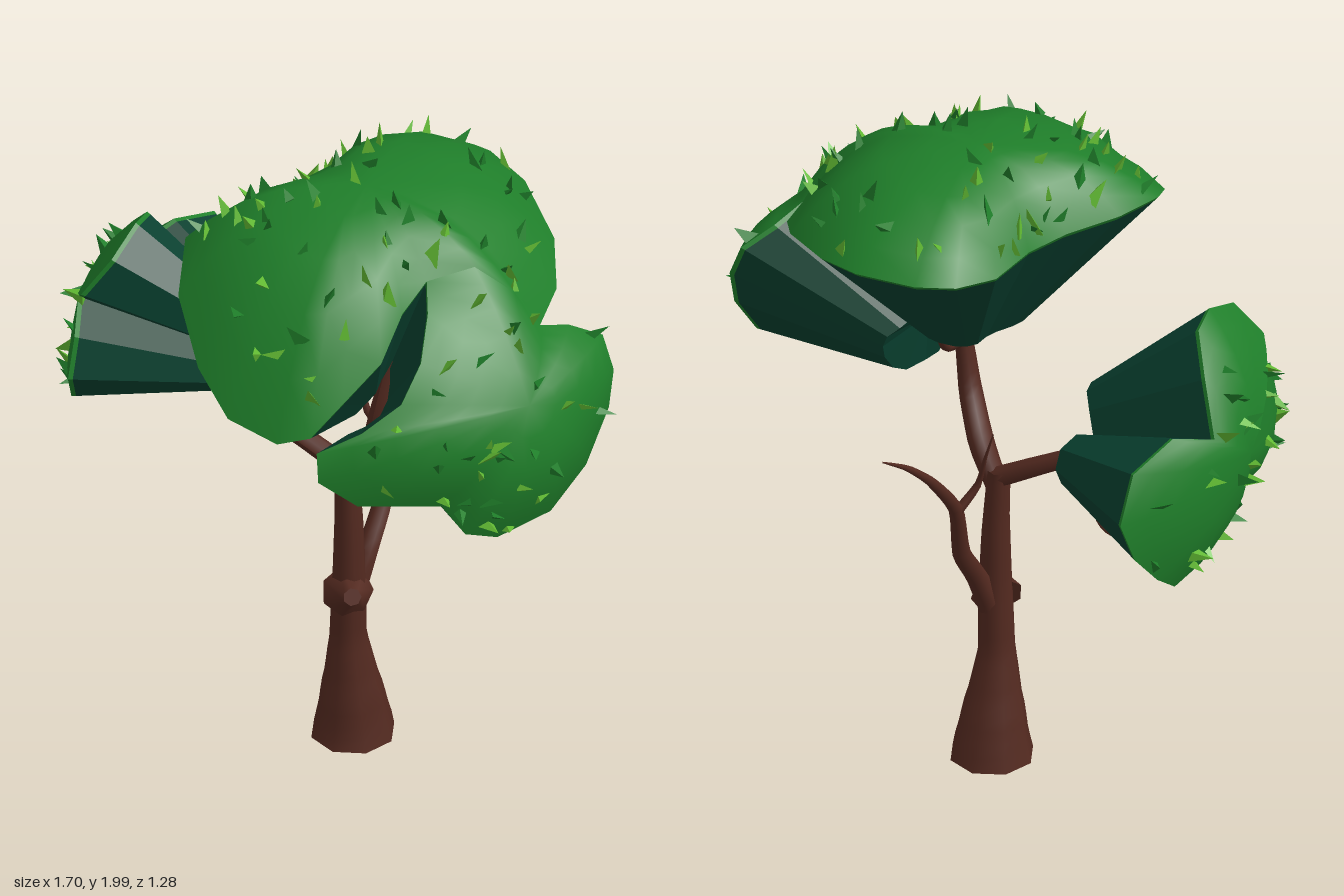
import * as THREE from 'three';
import { mergeGeometries, mergeVertices } from 'three/addons/utils/BufferGeometryUtils.js';

const V = (a) => new THREE.Vector3(...a);
const paint = (name, color, side = THREE.FrontSide) => {
  const m = new THREE.MeshStandardMaterial({ color, side });
  m.name = name;
  return m;
};

// Surface through a list of closed rings with equal point counts
function loft(rings, smooth) {
  const n = rings[0].length, index = [];
  for (let r = 0; r < rings.length - 1; r++) {
    for (let i = 0; i < n; i++) {
      const j = (i + 1) % n, a = r * n, b = a + n;
      index.push(a + i, b + i, b + j, a + i, b + j, a + j);
    }
  }
  let g = new THREE.BufferGeometry().setFromPoints(rings.flat());
  g.setIndex(index);
  g = smooth ? mergeVertices(g) : g.toNonIndexed();
  g.computeVertexNormals();
  return g;
}

// Tapered limb: each station is [x, y, z, radius]
function limb(stations, sides = 8) {
  const curve = new THREE.CatmullRomCurve3(stations.map((s) => V(s.slice(0, 3))), false, 'catmullrom', 0.3);
  const segs = (stations.length - 1) * 4, last = stations.length - 1;
  const g = new THREE.TubeGeometry(curve, segs, 1, sides);
  const pos = g.attributes.position, p = new THREE.Vector3();
  for (let k = 0; k <= segs; k++) {
    const u = k / segs, c = curve.getPointAt(u);
    const t = curve.getUtoTmapping(u) * last, i = Math.min(Math.floor(t), last - 1);
    const r = THREE.MathUtils.lerp(stations[i][3], stations[i + 1][3], t - i);
    for (let s = 0; s <= sides; s++) {
      const v = k * (sides + 1) + s;
      p.fromBufferAttribute(pos, v).sub(c).multiplyScalar(r).add(c);
      pos.setXYZ(v, p.x, p.y, p.z);
    }
  }
  g.computeVertexNormals();
  return g;
}

export function createModel() {
  const group = new THREE.Group();
  const bark = paint('bark brown', 0x542a20);
  const leaf = paint('leaf green', 0x1f7f2a, THREE.DoubleSide);
  const under = paint('shaded underside green', 0x08402f, THREE.DoubleSide);
  const tuftLight = paint('light tuft green', 0x62bb33);
  const add = (name, geometry, material, parent = group) => {
    const m = new THREE.Mesh(geometry, material);
    m.name = name;
    parent.add(m);
    return m;
  };
  let seed = 7;
  const rand = () => (seed = (seed * 16807) % 2147483647) / 2147483647;

  // Trunk and branches
  add('trunk', limb([[0.033, 0, -0.08, 0.122], [0.033, 0.04, -0.08, 0.114], [0.031, 0.16, -0.072, 0.09],
    [0.028, 0.33, -0.06, 0.055], [0.034, 0.52, -0.055, 0.051], [0.03, 0.75, -0.06, 0.041], [0.02, 0.93, -0.06, 0.034]]), bark);
  const base = add('trunkBase', new THREE.CircleGeometry(0.12, 8), bark);
  base.rotation.x = Math.PI / 2;
  base.position.set(0.033, 0.002, -0.08);
  const knot = add('trunkKnot', new THREE.CylinderGeometry(0.026, 0.075, 0.085, 7), bark);
  knot.position.set(0.06, 0.515, -0.01);
  knot.rotation.set(1.1, 0, -0.6);
  add('mainBranch', limb([[0.02, 0.86, -0.06, 0.032], [0.09, 0.98, -0.03, 0.038], [0.16, 1.1, 0.04, 0.034],
    [0.19, 1.24, 0.06, 0.026], [0.22, 1.42, 0.04, 0.018]]), bark);
  add('mainBranchTwig', limb([[0.19, 1.25, 0.06, 0.02], [0.2, 1.27, -0.03, 0.017], [0.2, 1.34, -0.08, 0.01]], 6), bark);
  add('sideBranch', limb([[0.03, 0.9, -0.06, 0.032], [-0.1, 0.97, -0.05, 0.029], [-0.24, 1.04, -0.03, 0.026],
    [-0.33, 1.1, -0.02, 0.028], [-0.4, 1.17, -0.02, 0.015]]), bark);
  add('sideTwig', limb([[-0.28, 1.06, -0.03, 0.02], [-0.31, 0.98, -0.08, 0.016], [-0.33, 0.9, -0.13, 0.011],
    [-0.38, 0.885, -0.16, 0.007], [-0.46, 0.91, -0.2, 0.002]], 6), bark);
  add('backBranch', limb([[0.04, 0.48, -0.07, 0.038], [0.06, 0.6, -0.12, 0.031], [0.065, 0.73, -0.21, 0.027],
    [0.045, 0.92, -0.285, 0.021], [0.055, 1.08, -0.42, 0.014], [0.075, 1.18, -0.53, 0.009], [0.093, 1.26, -0.648, 0.002]], 7), bark);
  add('backTwig', limb([[0.045, 0.9, -0.28, 0.016], [0.0, 0.98, -0.235, 0.011], [-0.03, 1.08, -0.25, 0.006],
    [-0.062, 1.18, -0.26, 0.002]], 6), bark);

  // Leaf mass: domed skin with a thin lip, dark underside narrowing to the branch, scattered tufts
  function foliage(name, { rim, apex, axis, power, inner, scale, tufts }) {
    const part = new THREE.Group();
    part.name = name;
    group.add(part);
    const top = V(apex), n = V(axis).normalize(), hub = V(inner);
    const edge = rim.map(V);
    const area = new THREE.Vector3(), mid = new THREE.Vector3();
    edge.forEach((p, i) => {
      const q = edge[(i + 1) % edge.length];
      area.add(p.clone().sub(top).cross(q.clone().sub(top)));
      mid.addScaledVector(p, 1 / edge.length);
    });
    if (area.dot(n) < 0) edge.reverse();
    const dome = (p, t) => {
      const d = p.clone().sub(top), h = d.dot(n);
      return top.clone().addScaledVector(d.addScaledVector(n, -h), t).addScaledVector(n, h * t ** power);
    };
    const neck = edge.map((p) => p.clone().sub(mid).multiplyScalar(scale).add(hub));
    const lip = edge.map((p, i) => p.clone().lerp(neck[i], 0.03));
    const end = hub.clone().addScaledVector(n, 0.04);
    add('leafSkin', loft([0, 0.25, 0.5, 0.7, 0.87, 1].map((t) => edge.map((p) => dome(p, t))), true), leaf, part);
    add('leafLip', loft([edge, lip], false), leaf, part);
    add('leafUnderside', loft([lip, neck, neck.map(() => end)], false), under, part);

    const outline = new THREE.CatmullRomCurve3(edge, true, 'catmullrom', 0);
    const sets = [[], []];
    for (let k = 0; k < tufts; k++) {
      const p = dome(outline.getPointAt(rand()), 0.1 + 0.86 * Math.sqrt(rand()));
      const out = p.clone().sub(hub).normalize().add(n).normalize();
      out.add(new THREE.Vector3(rand() - 0.5, rand() - 0.5, rand() - 0.5).multiplyScalar(1.1)).normalize();
      const size = 0.6 + 0.7 * rand();
      const g = new THREE.ConeGeometry(0.028 * size, 0.068 * size, 3).toNonIndexed();
      g.computeVertexNormals();
      g.scale(1, 1, 0.5);
      g.rotateY(rand() * 6.28);
      g.applyQuaternion(new THREE.Quaternion().setFromUnitVectors(new THREE.Vector3(0, 1, 0), out));
      g.translate(p.x + out.x * 0.016, p.y + out.y * 0.016, p.z + out.z * 0.016);
      sets[k % 2].push(g);
    }
    add('tufts', mergeGeometries(sets[0]), leaf, part);
    add('lightTufts', mergeGeometries(sets[1]), tuftLight, part);
  }

  // Seam shared by the two halves of the crown, from the slit end to the back crease
  const seam = [[0.39, 1.79, 0.16], [0.5, 1.825, 0.08], [0.6, 1.74, 0.03], [0.655, 1.615, -0.02]];

  foliage('crown', {
    rim: [[-0.33, 1.76, 0.24], [-0.27, 1.68, 0.4], [-0.13, 1.57, 0.55], [0.0, 1.48, 0.62], [0.16, 1.45, 0.63],
      [0.25, 1.48, 0.6], [0.3, 1.55, 0.5], [0.37, 1.65, 0.4], [0.37, 1.74, 0.27], ...seam,
      [0.63, 1.64, -0.17], [0.55, 1.7, -0.31], [0.38, 1.75, -0.46], [0.24, 1.77, -0.52], [0.06, 1.77, -0.51],
      [-0.04, 1.76, -0.45], [-0.11, 1.75, -0.34], [-0.13, 1.75, -0.17], [-0.18, 1.75, -0.04], [-0.28, 1.76, 0.1]],
    apex: [0.12, 1.94, 0], axis: [0, 1, 0], power: 3.0, inner: [0.15, 1.33, 0.02], scale: 0.28, tufts: 66,
  });

  foliage('crownSideLobe', {
    rim: [...[...seam].reverse(), [0.44, 1.75, 0.25], [0.475, 1.66, 0.36], [0.46, 1.57, 0.45], [0.38, 1.5, 0.54],
      [0.28, 1.45, 0.62], [0.29, 1.36, 0.63], [0.39, 1.28, 0.58], [0.57, 1.24, 0.42], [0.62, 1.13, 0.37],
      [0.68, 1.09, 0.29], [0.75, 1.085, 0.1], [0.79, 1.17, -0.04], [0.81, 1.31, -0.14], [0.81, 1.42, -0.17],
      [0.77, 1.52, -0.18], [0.7, 1.575, -0.11]],
    apex: [0.735, 1.5, 0.2], axis: [0.8, 0.5, 0.35], power: 2.4, inner: [0.29, 1.25, 0.08], scale: 0.38, tufts: 36,
  });

  foliage('lowCrown', {
    rim: [[-0.6, 1.59, 0.02], [-0.61, 1.54, 0.15], [-0.68, 1.43, 0.2], [-0.73, 1.36, 0.12], [-0.68, 1.31, 0.24],
      [-0.68, 1.19, 0.28], [-0.7, 1.09, 0.22], [-0.71, 1.04, 0.1], [-0.73, 1.07, -0.06], [-0.7, 0.94, -0.11],
      [-0.68, 0.89, -0.2], [-0.67, 0.89, -0.34], [-0.66, 0.96, -0.43], [-0.63, 1.06, -0.51], [-0.6, 1.18, -0.54],
      [-0.61, 1.32, -0.48], [-0.66, 1.37, -0.33], [-0.73, 1.32, -0.21], [-0.67, 1.47, -0.15], [-0.61, 1.57, -0.07]],
    apex: [-0.78, 1.22, -0.08], axis: [-1, 0, 0], power: 2.2, inner: [-0.3, 1.16, -0.12], scale: 0.4, tufts: 30,
  });

  return group;
}
